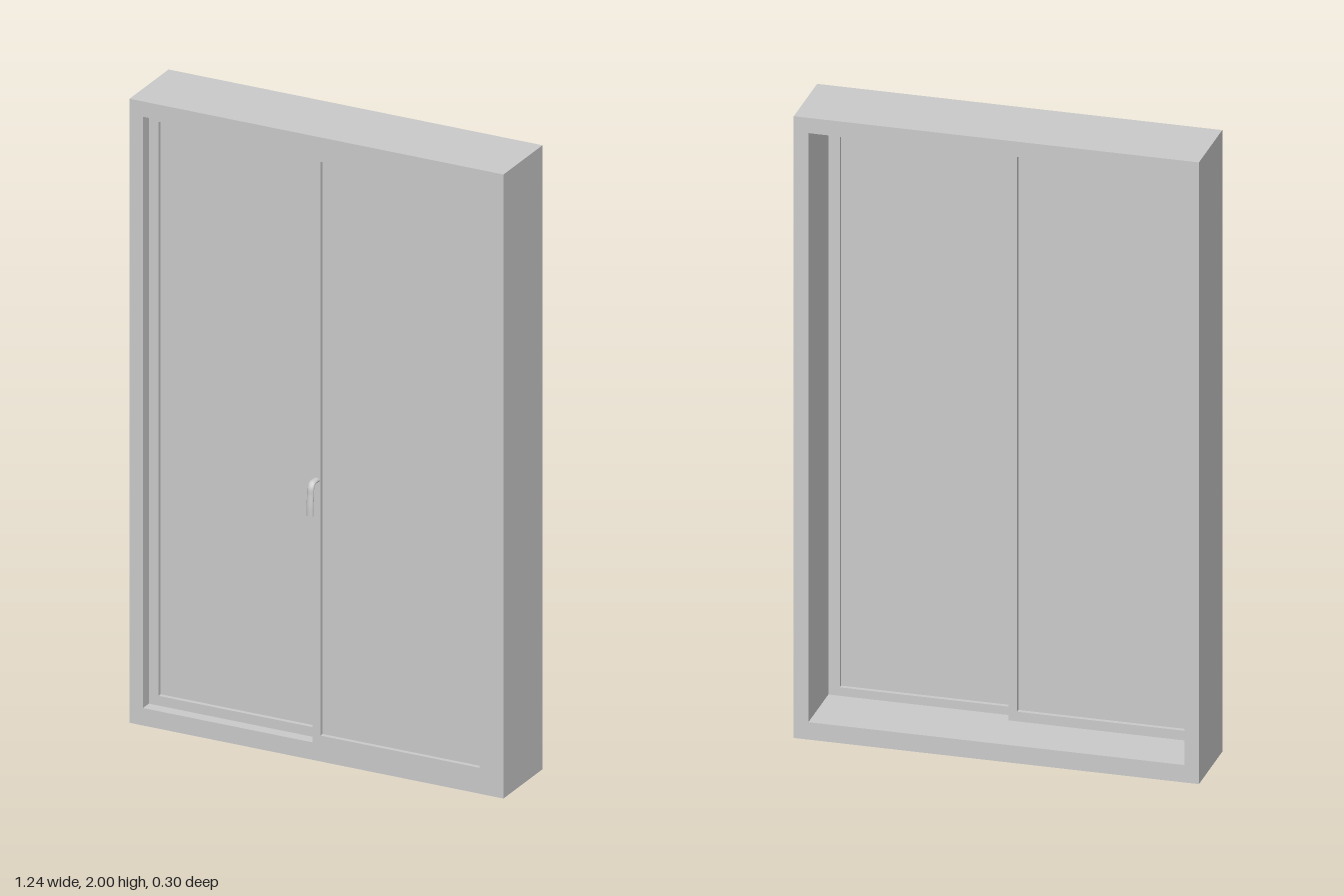
import * as THREE from 'three';

const material = new THREE.MeshStandardMaterial({ color: 0xcccccc });

function addMesh(parent, name, geometry) {
  const mesh = new THREE.Mesh(geometry, material);
  mesh.name = name;
  parent.add(mesh);
  return mesh;
}

// Counter-clockwise rectangle from [left, bottom, right, top]
function trace(path, [l, b, r, t]) {
  path.moveTo(l, b);
  path.lineTo(r, b);
  path.lineTo(r, t);
  path.lineTo(l, t);
  path.closePath();
  return path;
}

// Rectangular frame with a rectangular opening, extruded from z0 to z1
function frameGeometry(outer, inner, z0, z1) {
  const shape = trace(new THREE.Shape(), outer);
  shape.holes.push(trace(new THREE.Path(), inner));
  const geometry = new THREE.ExtrudeGeometry(shape, { depth: z1 - z0, bevelEnabled: false });
  return geometry.translate(0, 0, z0);
}

// Sliding panel: slim sash with a recessed pane
function addPanel(parent, name, outer, inner, z0, z1) {
  const panel = new THREE.Group();
  panel.name = name;
  parent.add(panel);
  addMesh(panel, 'sash', frameGeometry(outer, inner, z0, z1));
  const [l, b, r, t] = inner;
  const pane = addMesh(panel, 'pane', new THREE.BoxGeometry(r - l, t - b, 0.008));
  pane.position.set((l + r) / 2, (b + t) / 2, (z0 + z1) / 2);
}

// Curved pull handle: oval tube bending forward and down
function addHandle(parent) {
  const handle = new THREE.Group();
  handle.name = 'handle';
  parent.add(handle);
  const radius = 0.007;
  const path = new THREE.CatmullRomCurve3([
    [0.9, 0.095], [0.901, 0.115], [0.899, 0.128], [0.888, 0.136],
    [0.865, 0.138], [0.83, 0.141], [0.8, 0.141],
  ].map(([y, z]) => new THREE.Vector3(0, y, z)));
  addMesh(handle, 'grip', new THREE.TubeGeometry(path, 32, radius, 16));
  const cap = addMesh(handle, 'gripEnd', new THREE.CircleGeometry(radius, 16));
  cap.position.copy(path.getPoint(1));
  cap.lookAt(path.getPoint(1).add(path.getTangent(1)));
  handle.scale.x = 1.6;
}

export function createModel() {
  const model = new THREE.Group();
  model.name = 'slidingDoor';

  // Deep outer frame
  addMesh(model, 'outerFrame',
    frameGeometry([-0.622, 0, 0.622, 2], [-0.577, 0.056, 0.577, 1.951], -0.15, 0.1));

  // Rear panel on the right, front panel on the left, overlapping in the middle
  addPanel(model, 'rearPanel',
    [-0.577, 0.056, 0.013, 1.951], [-0.545, 0.087, -0.013, 1.927], 0.026, 0.062);
  addPanel(model, 'frontPanel',
    [-0.013, 0.056, 0.577, 1.951], [0.013, 0.083, 0.542, 1.922], 0.064, 0.1);

  addHandle(model);
  return model;
}
